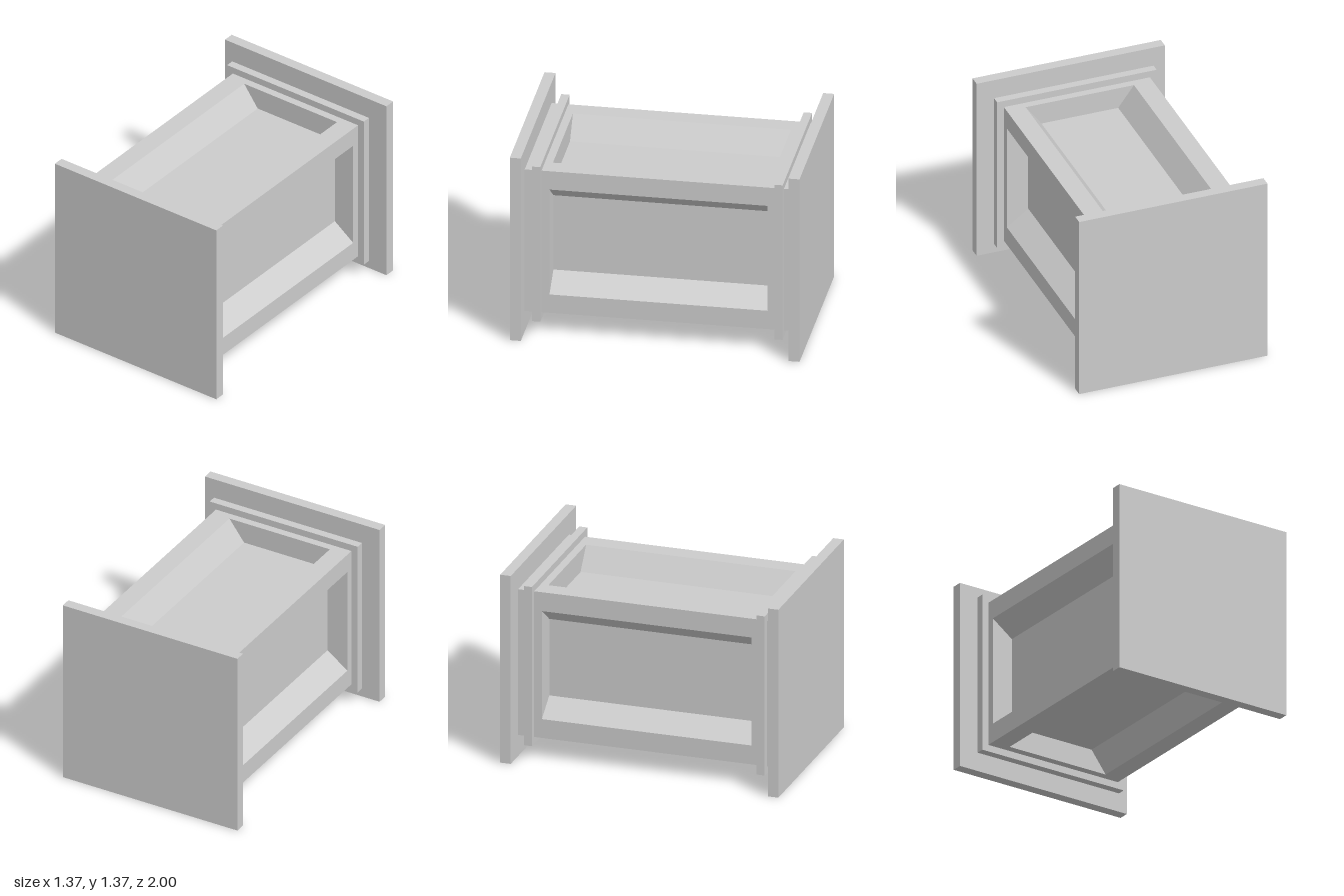
import * as THREE from 'three';

const HALF = 0.687;      // half width of the end plates, also the height of the axis
const SHAFT = 0.533;     // half width of the shaft
const PANEL_END = 0.753; // z where the recessed panels stop

export function createModel() {
  const model = new THREE.Group();
  model.name = 'panelledPedestal';
  const material = new THREE.MeshStandardMaterial({ color: 0xcccccc, flatShading: true });

  const add = (name, geometry, z = 0) => {
    const mesh = new THREE.Mesh(geometry, material);
    mesh.name = name;
    mesh.position.set(0, HALF, z);
    model.add(mesh);
  };

  // Square slab across the axis, between two z values
  const addSlab = (name, half, z0, z1) =>
    add(name, new THREE.BoxGeometry(half * 2, half * 2, Math.abs(z1 - z0)), (z0 + z1) / 2);

  // Shaft section: a square with a splayed recess in each of its four sides
  const side = [[-SHAFT, -SHAFT], [-0.395, -SHAFT], [-0.28, -0.377], [0.28, -0.377], [0.395, -SHAFT]];
  const points = [];
  for (let i = 0; i < 4; i++) {
    for (const [x, y] of side) {
      points.push(new THREE.Vector2(x, y).rotateAround(new THREE.Vector2(), i * Math.PI / 2));
    }
  }
  const shaft = new THREE.ExtrudeGeometry(new THREE.Shape(points), { depth: PANEL_END * 2, bevelEnabled: false });
  shaft.translate(0, 0, -PANEL_END);
  add('panelledShaft', shaft);

  // Matching ends: solid shaft block, raised band and wide plate
  for (const [label, s] of [['front', 1], ['back', -1]]) {
    addSlab(label + 'ShaftBlock', SHAFT, s * PANEL_END, s * 0.925);
    addSlab(label + 'Band', 0.582, s * 0.808, s * 0.866);
    addSlab(label + 'Plate', HALF, s * 0.924, s);
  }
  return model;
}
